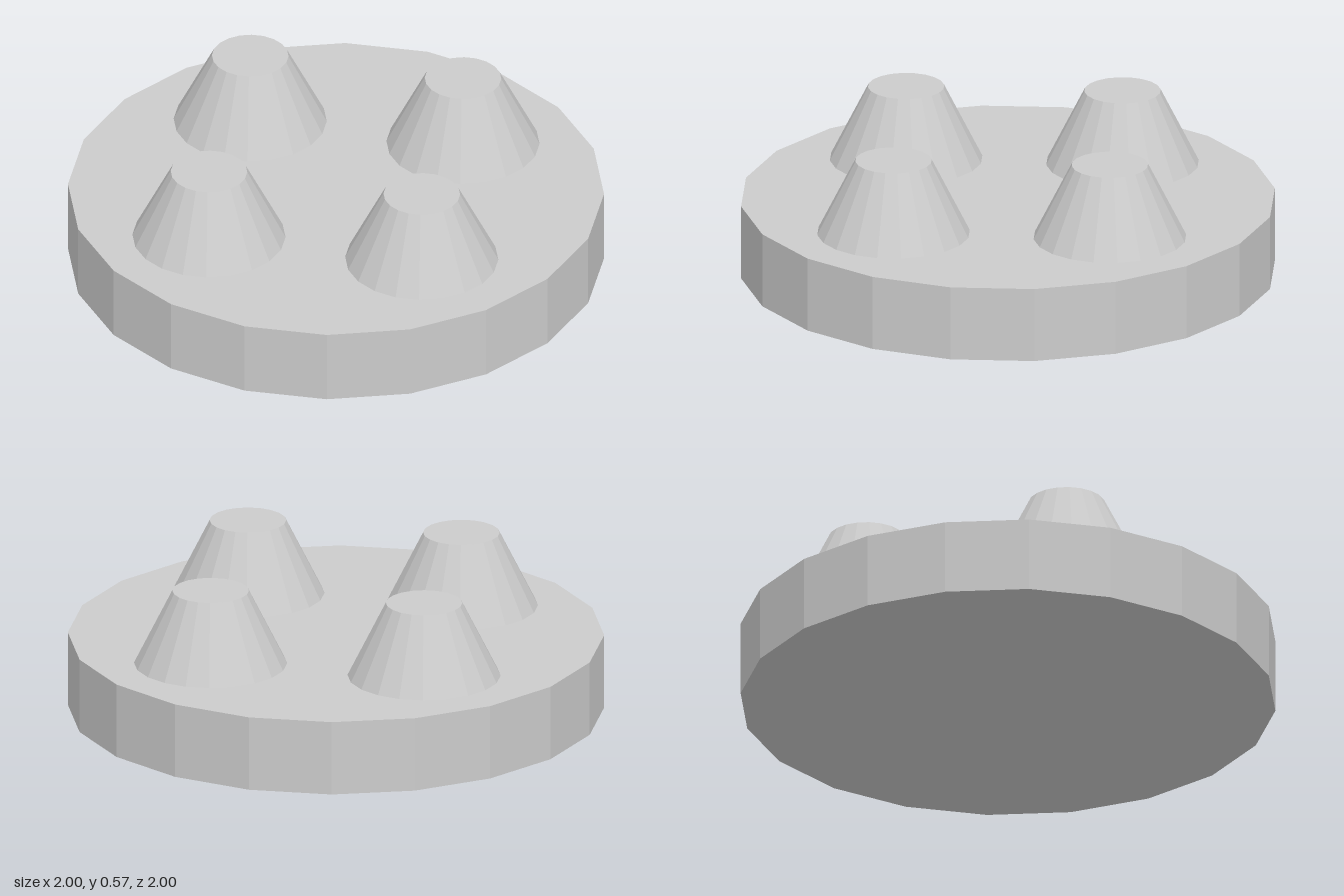
import * as THREE from 'three';

const SIDES = 20;
const UNIT = 2 / 7; // base thickness, peg height and peg foot radius

export function createModel() {
  const model = new THREE.Group();
  const material = new THREE.MeshStandardMaterial({ color: 0xcccccc, flatShading: true });

  // Faceted round base
  const base = new THREE.Mesh(new THREE.CylinderGeometry(1, 1, UNIT, SIDES), material);
  base.name = 'base';
  base.position.y = UNIT / 2;
  model.add(base);

  // Four tapered pegs, one towards each side
  const pegGeometry = new THREE.CylinderGeometry(UNIT / 2, UNIT, UNIT, SIDES);
  const pegs = { frontPeg: [0, 1], backPeg: [0, -1], leftPeg: [1, 0], rightPeg: [-1, 0] };
  for (const [name, [x, z]] of Object.entries(pegs)) {
    const peg = new THREE.Mesh(pegGeometry, material);
    peg.name = name;
    peg.position.set(x * 2 * UNIT, UNIT * 1.5, z * 2 * UNIT);
    model.add(peg);
  }

  return model;
}
